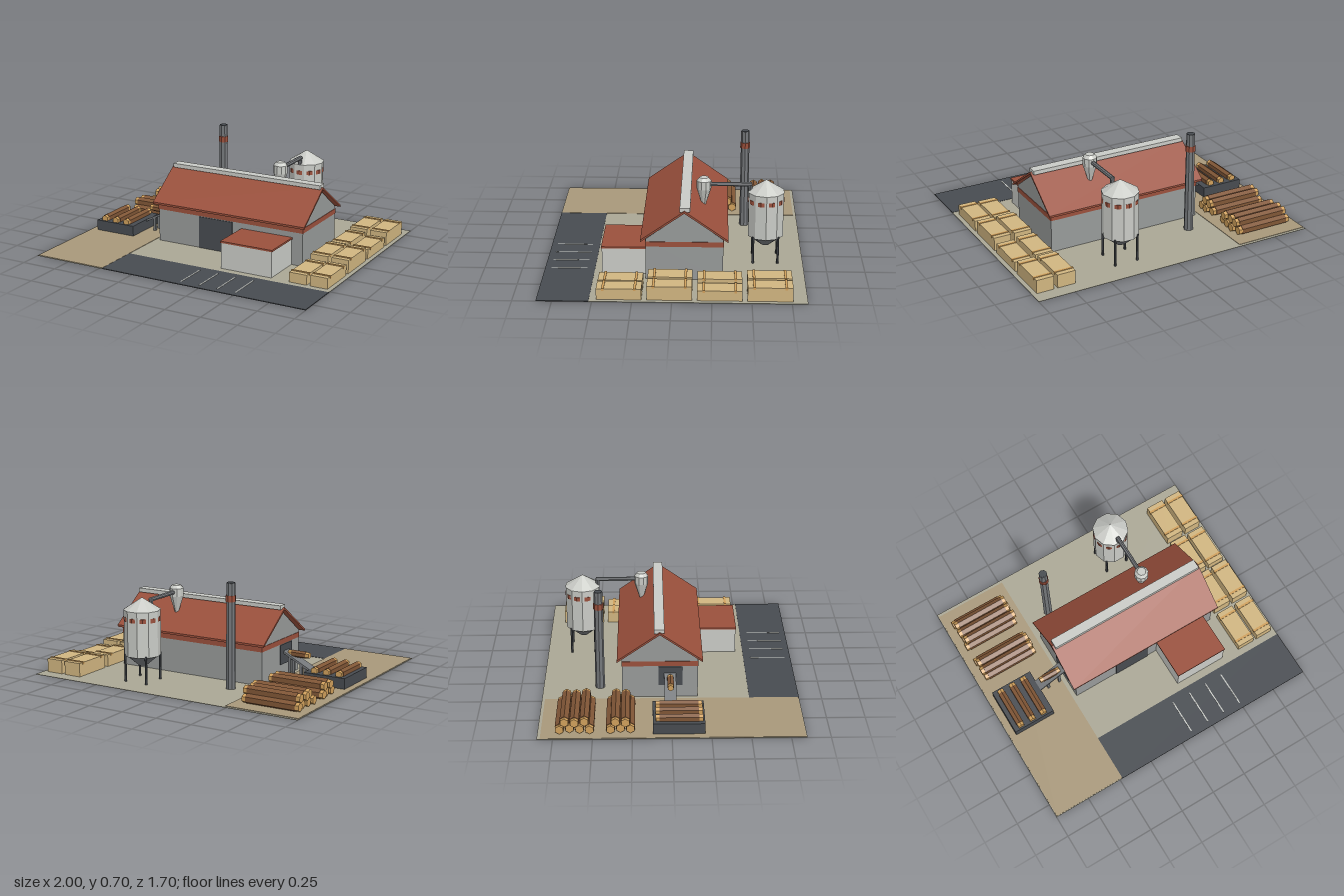
import * as THREE from 'three';

const mat = (name, color) => Object.assign(new THREE.MeshStandardMaterial({ color, flatShading: true }), { name });

export function createModel() {
  const root = new THREE.Group();
  root.name = 'sawmill';
  const M = {
    ground: mat('gravel', 0xaaa795),
    yard: mat('dirt', 0xa8987a),
    dark: mat('asphalt', 0x474b50),
    wall: mat('grey cladding', 0x979a99),
    pale: mat('pale metal', 0xc9cbc6),
    red: mat('rust red', 0x9a503c),
    lumber: mat('cut lumber', 0xd0b580),
    bark: mat('bark', 0x805636),
    wood: mat('log end', 0xd0a05c),
    steel: mat('steel', 0x74777a),
  };
  const add = (name, geo, material, parent = root) => {
    const m = new THREE.Mesh(geo, material);
    m.name = name;
    parent.add(m);
    return m;
  };
  // box given by its limits on each axis
  const box = (name, material, x0, x1, y0, y1, z0, z1, parent) => {
    const m = add(name, new THREE.BoxGeometry(x1 - x0, y1 - y0, z1 - z0), material, parent);
    m.position.set((x0 + x1) / 2, (y0 + y1) / 2, (z0 + z1) / 2);
    return m;
  };
  // upright cylinder from y0 to y1
  const post = (name, material, x, z, y0, y1, r0, r1, sides, turn = 0) => {
    const m = add(name, new THREE.CylinderGeometry(r1, r0, y1 - y0, sides), material);
    m.position.set(x, (y0 + y1) / 2, z);
    m.rotation.y = turn;
    return m;
  };

  // ground
  box('gravelGround', M.ground, -1, 1, 0, 0.003, -0.85, 0.52);
  box('yardBase', M.ground, -1, -0.48, 0, 0.003, 0.52, 0.85);
  box('dirtYard', M.yard, -0.995, -0.48, 0.003, 0.006, -0.83, 0.845);
  box('asphalt', M.dark, -0.48, 1, 0, 0.005, 0.52, 0.85);
  for (const x of [0.1, 0.235, 0.365, 0.495]) box('parkingLine', M.pale, x - 0.004, x + 0.004, 0.005, 0.007, 0.57, 0.81);

  // hall with gabled ends
  const ridgeZ = -0.07;
  const gable = new THREE.Shape([[-0.25, 0], [0.25, 0], [0.25, 0.28], [0, 0.462], [-0.25, 0.28]]
    .map(([a, b]) => new THREE.Vector2(a, b)));
  const hall = add('hallWalls', new THREE.ExtrudeGeometry(gable, { depth: 1.1, bevelEnabled: false }), M.wall);
  hall.rotation.y = -Math.PI / 2;
  hall.position.set(0.65, 0, ridgeZ);
  box('wallBand', M.red, -0.453, 0.653, 0.23, 0.264, -0.323, 0.183);
  box('mainDoor', M.dark, -0.13, 0.125, 0.003, 0.225, 0.178, 0.185);
  box('logOpening', M.dark, -0.455, -0.448, 0.09, 0.225, -0.08, 0.08);

  // roof: two slopes as one folded sheet
  const fold = new THREE.Shape([[-0.282, 0.27], [0, 0.468], [0.282, 0.27], [0.282, 0.284], [0, 0.483], [-0.282, 0.284]]
    .map(([a, b]) => new THREE.Vector2(a, b)));
  const roof = add('hallRoof', new THREE.ExtrudeGeometry(fold, { depth: 1.155, bevelEnabled: false }), M.red);
  roof.rotation.y = -Math.PI / 2;
  roof.position.set(0.675, 0, ridgeZ);
  box('ridgeVent', M.pale, -0.465, 0.663, 0.472, 0.5, -0.107, -0.04);

  // office
  box('officeWalls', M.pale, 0.2, 0.57, 0, 0.18, 0.17, 0.468);
  box('officeRoof', M.red, 0.195, 0.575, 0.18, 0.192, 0.17, 0.472);

  // chimney
  post('chimney', M.steel, -0.305, -0.47, 0, 0.7, 0.032, 0.029, 8);
  post('chimneyBand', M.red, -0.305, -0.47, 0.58, 0.62, 0.034, 0.034, 8);
  post('chimneyMouth', M.dark, -0.305, -0.47, 0.698, 0.704, 0.027, 0.027, 8);

  // silo
  const sx = 0.295, sz = -0.6, turn = Math.PI / 10;
  post('siloBody', M.pale, sx, sz, 0.18, 0.485, 0.121, 0.121, 10, turn);
  post('siloRoof', M.pale, sx, sz, 0.485, 0.562, 0.124, 0.004, 10, turn);
  post('siloHopper', M.steel, sx, sz, 0.11, 0.18, 0.03, 0.115, 10, turn);
  post('siloBand', M.red, sx, sz, 0.412, 0.44, 0.122, 0.122, 10);
  for (const i of [-1, 1]) for (const j of [-1, 1])
    post('siloLeg', M.dark, sx + i * 0.082, sz + j * 0.082, 0, 0.19, 0.008, 0.008, 6);

  // dust cyclone and duct
  const cyclone = add('cyclone', new THREE.LatheGeometry([[0, 0.385], [0.012, 0.385], [0.048, 0.5], [0.048, 0.555], [0.03, 0.577], [0, 0.577]]
    .map(([r, y]) => new THREE.Vector2(r, y)), 10), M.pale);
  cyclone.position.set(sx, 0, -0.19);
  const duct = add('duct', new THREE.CylinderGeometry(0.015, 0.015, 0.285, 8), M.steel);
  duct.rotation.x = Math.PI / 2;
  duct.position.set(sx, 0.53, -0.362);
  post('ductDrop', M.steel, sx, -0.495, 0.48, 0.535, 0.014, 0.014, 8);

  // logs: bark with a pale tip at each end, lying along x
  const log = (parent, x, y, z, length, r) => {
    const g = new THREE.Group();
    g.name = 'log';
    const bark = add('bark', new THREE.CylinderGeometry(r, r, length - 0.05, 6), M.bark, g);
    bark.rotation.z = Math.PI / 2;
    bark.rotation.x = Math.PI / 2;
    bark.rotation.order = 'ZYX';
    bark.rotation.set(0, Math.PI / 2, Math.PI / 2);
    for (const s of [-1, 1]) {
      const tip = add('logEnd', new THREE.CylinderGeometry(r * 0.88, r * 0.88, 0.025, 6), M.wood, g);
      tip.rotation.copy(bark.rotation);
      tip.position.x = s * (length / 2 - 0.0125);
    }
    g.position.set(x, y, z);
    parent.add(g);
    return g;
  };
  const pile = (z, count) => {
    const g = new THREE.Group();
    g.name = 'logPile';
    root.add(g);
    for (let row = 0; row < 2; row++) for (let i = 0; i < count - row; i++)
      log(g, -0.735 + ((i * 2 + row) % 3 - 1) * 0.008, 0.036 + row * 0.047, z + (i - (count - row - 1) / 2) * 0.063,
        0.4, 0.033);
  };
  pile(-0.615, 4);
  pile(-0.325, 3);

  // log deck
  box('logDeck', M.dark, -0.95, -0.65, 0, 0.078, -0.12, 0.21);
  for (const x of [-0.895, -0.805, -0.718]) log(root, x, 0.092, 0.048, 0.3, 0.028).rotation.y = Math.PI / 2;

  // infeed conveyor
  const belt = add('conveyor', new THREE.BoxGeometry(0.235, 0.014, 0.078), M.steel);
  belt.position.set(-0.555, 0.12, -0.003);
  belt.rotation.z = 0.47;
  for (const [x, h] of [[-0.585, 0.1], [-0.498, 0.14]]) for (const z of [-0.03, 0.025])
    box('conveyorLeg', M.steel, x - 0.009, x + 0.009, 0, h, z - 0.007, z + 0.007);
  log(root, -0.555, 0.162, -0.002, 0.155, 0.024);

  // strapped lumber stacks in two columns
  const heights = [[0.095, 0.095], [0.085, 0.07], [0.095, 0.095], [0.07, 0.076]];
  heights.forEach((row, i) => row.forEach((h, j) => {
    const x0 = [0.7, 0.85][j], x1 = [0.825, 0.97][j], z0 = -0.757 + i * 0.316;
    const g = new THREE.Group();
    g.name = 'lumberStack';
    root.add(g);
    box('boards', M.lumber, x0, x1, 0, h, z0, z0 + 0.284, g);
    for (const d of [0.042, 0.242])
      box('strap', M.wood, x0 - 0.003, x1 + 0.003, h - 0.012, h + 0.004, z0 + d - 0.008, z0 + d + 0.008, g);
  }));

  return root;
}
